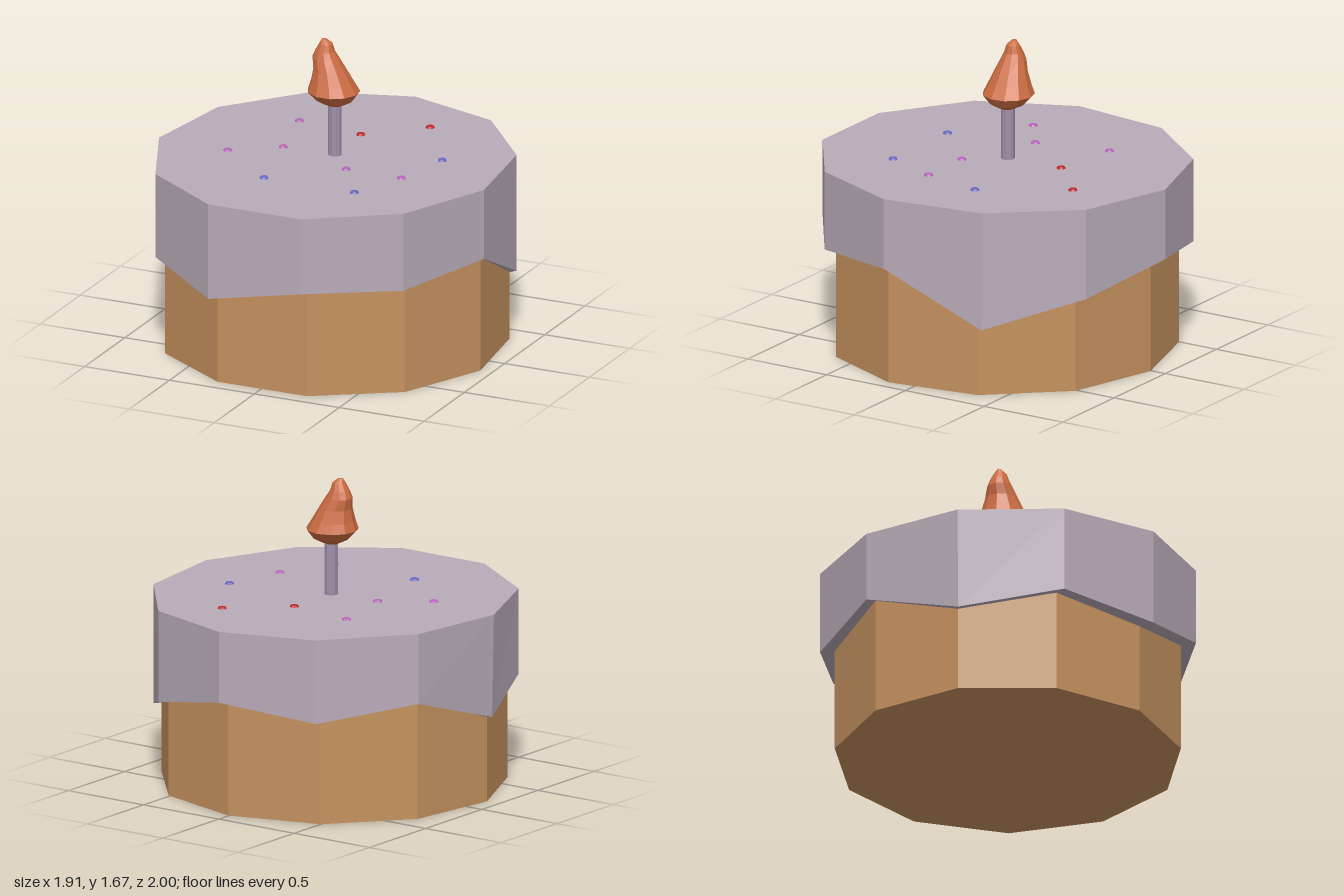
import * as THREE from 'three';

const mat = (color, side = THREE.FrontSide) =>
  new THREE.MeshStandardMaterial({ color, flatShading: true, side });

// Skins a stack of equally sized point loops (lowest first when outward is +).
function loft(loops, capStart, capEnd) {
  const n = loops[0].length, pos = [], index = [];
  loops.forEach(l => l.forEach(p => pos.push(...p)));
  for (let r = 0; r < loops.length - 1; r++)
    for (let i = 0; i < n; i++) {
      const j = (i + 1) % n, a = r * n + i, b = r * n + j, c = a + n, d = b + n;
      index.push(a, c, b, b, c, d);
    }
  const last = (loops.length - 1) * n;
  for (let i = 1; i < n - 1; i++) {
    if (capStart) index.push(0, i, i + 1);
    if (capEnd) index.push(last, last + i + 1, last + i);
  }
  const g = new THREE.BufferGeometry();
  g.setAttribute('position', new THREE.Float32BufferAttribute(pos, 3));
  g.setIndex(index);
  const flat = g.toNonIndexed();
  flat.computeVertexNormals();
  return flat;
}

// Loop running clockwise seen from above is reversed here by the angle's sign:
// it starts at the back (-z) and goes round through +x.
function ring(n, rx, rz, cx, cz, height) {
  return Array.from({ length: n }, (_, i) => {
    const t = (i / n) * Math.PI * 2;
    return [cx + rx * Math.sin(t), typeof height === 'number' ? height : height[i], cz - rz * Math.cos(t)];
  });
}

export function createModel() {
  const model = new THREE.Group();
  const add = (name, geometry, material, parent = model) => {
    const mesh = new THREE.Mesh(geometry, material);
    mesh.name = name;
    parent.add(mesh);
    return mesh;
  };
  const SIDES = 11, TOP = 1.03;
  // Lower edge of the icing at each corner, from the back round through +x
  const drips = [0.64, 0.53, 0.375, 0.64, 0.595, 0.605, 0.495, 0.56, 0.465, 0.645, 0.57];

  // Sponge
  const sponge = y => ring(SIDES, 0.935, 0.93, 0.005, 0.02, y);
  add('cakeBase', loft([sponge(0), sponge(0.95)], true, true), mat(0xc6925f));

  // Icing: inner lip, uneven skirt and flat top
  const skirt = ring(SIDES, 0.967, 1.02, 0, 0.02, drips);
  const rim = ring(SIDES, 0.967, 1.02, 0, 0.02, TOP);
  skirt[8][0] += 0.012;
  add('icing', loft([sponge(drips), skirt, rim], false, true), mat(0xb8abb8, THREE.DoubleSide));

  // Candle
  const candle = new THREE.Group();
  candle.name = 'candle';
  model.add(candle);
  const stick = new THREE.CylinderGeometry(0.037, 0.037, 0.32, 10);
  add('candleStick', stick, mat(0xa090a8), candle).position.y = TOP + 0.15;

  // Flame, leaning to -x: [y, centre x, x radius, z radius]
  const sections = [
    [1.31, 0, 0.04, 0.035], [1.34, 0, 0.1, 0.095], [1.39, -0.007, 0.142, 0.14],
    [1.44, -0.015, 0.118, 0.118], [1.51, -0.03, 0.09, 0.09], [1.57, -0.053, 0.075, 0.068],
    [1.61, -0.058, 0.053, 0.052], [1.65, -0.052, 0.036, 0.036], [1.675, -0.062, 0.014, 0.012],
  ];
  const flame = sections.map(([y, cx, rx, rz]) => ring(11, rx, rz, cx, 0, y));
  add('flame', loft(flame, true, true), mat(0xcc6c42), candle);

  // Sprinkles
  const sprinkles = new THREE.Group();
  sprinkles.name = 'sprinkles';
  model.add(sprinkles);
  const spots = [
    [0xc02a2e, [[0.28, -0.595], [-0.005, -0.335]]],
    [0x6a6ac4, [[0.56, -0.155], [-0.18, 0.5], [0.353, 0.5]]],
    [0xb868bc, [[-0.393, -0.39], [-0.295, 0.017], [-0.54, 0.19], [0.157, 0.19], [0.483, 0.19]]],
  ];
  const dot = new THREE.CylinderGeometry(0.02, 0.03, 0.02, 10);
  for (const [color, places] of spots) {
    const m = mat(color);
    for (const [x, z] of places) add('sprinkle', dot, m, sprinkles).position.set(x, TOP, z);
  }
  return model;
}
